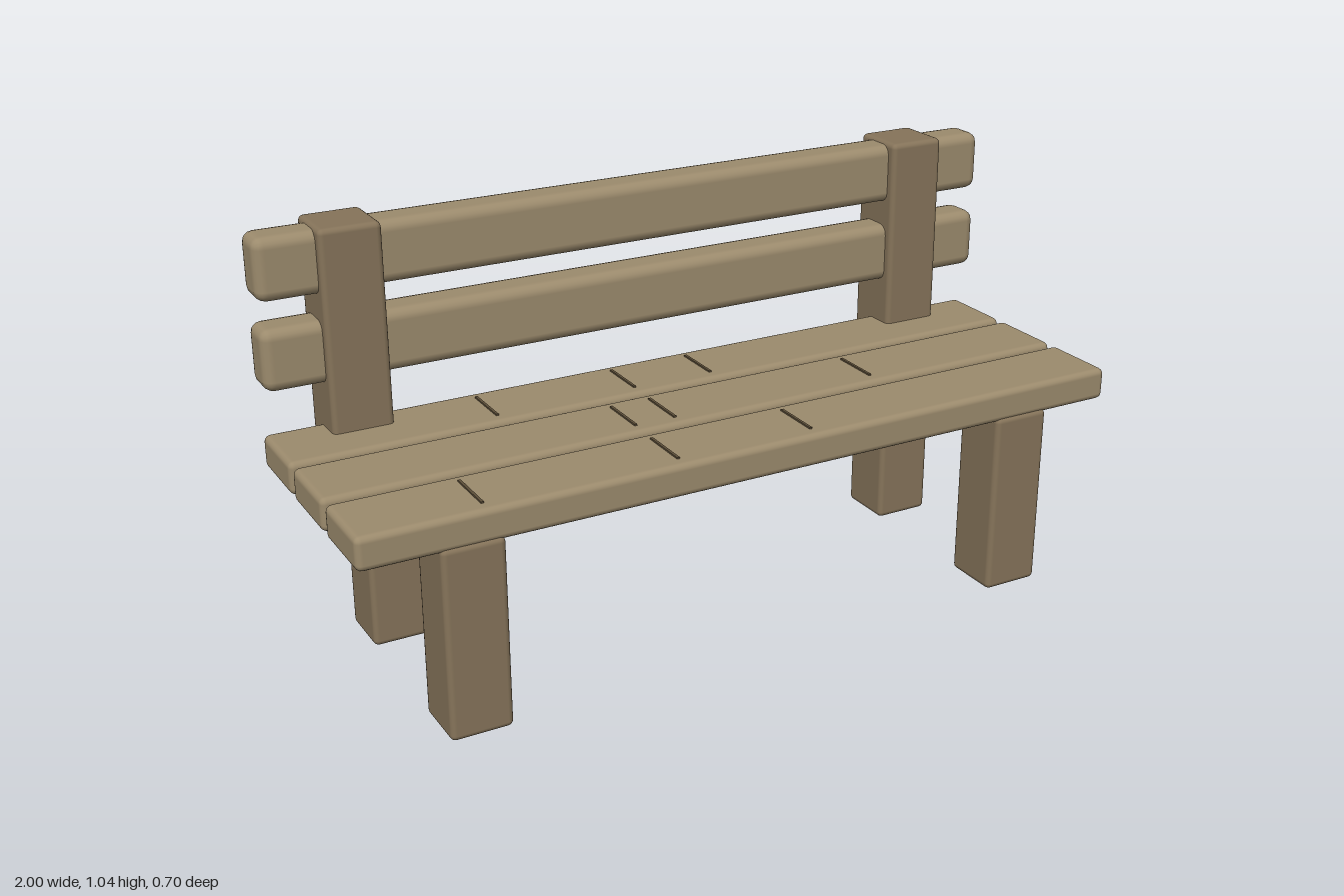
import * as THREE from 'three';
import { RoundedBoxGeometry } from 'three/addons/geometries/RoundedBoxGeometry.js';

export function createModel() {
  const bench = new THREE.Group();
  bench.name = 'bench';

  const plankWood = new THREE.MeshStandardMaterial({ color: 0x9c8b6d });
  const frameWood = new THREE.MeshStandardMaterial({ color: 0x86745a });
  const grainWood = new THREE.MeshStandardMaterial({ color: 0x5c4e38 });

  // Bevelled timber spanning the given min and max on each axis
  function timber(name, [x0, x1], [y0, y1], [z0, z1], radius, material) {
    const geometry = new RoundedBoxGeometry(x1 - x0, y1 - y0, z1 - z0, 2, radius);
    const mesh = new THREE.Mesh(geometry, material);
    mesh.position.set((x0 + x1) / 2, (y0 + y1) / 2, (z0 + z1) / 2);
    mesh.name = name;
    bench.add(mesh);
  }

  // Seat planks, each with three thin cross marks on top
  const planks = [
    { name: 'frontSeatPlank', z: 0.248, marks: [-0.7, -0.22, 0.135] },
    { name: 'middleSeatPlank', z: 0.03, marks: [-0.215, -0.11, 0.45] },
    { name: 'rearSeatPlank', z: -0.187, marks: [-0.475, -0.105, 0.11] },
  ];
  for (const { name, z, marks } of planks) {
    timber(name, [-1, 1], [0.465, 0.547], [z - 0.099, z + 0.099], 0.016, plankWood);
    for (const x of marks) {
      const mark = new THREE.Mesh(new THREE.BoxGeometry(0.007, 0.01, 0.13), grainWood);
      mark.position.set(x, 0.546, z);
      mark.name = 'grainMark';
      bench.add(mark);
    }
  }

  // Backrest rails
  timber('lowerBackRail', [-1, 1], [0.665, 0.818], [-0.326, -0.222], 0.027, plankWood);
  timber('upperBackRail', [-1, 1], [0.882, 1.035], [-0.326, -0.222], 0.027, plankWood);

  // Legs and back posts, mirrored left and right
  for (const [side, s] of [['left', 1], ['right', -1]]) {
    const span = (a, b) => (s > 0 ? [a, b] : [-b, -a]);
    timber(side + 'FrontLeg', span(0.662, 0.814), [0, 0.475], [0.2, 0.351], 0.014, frameWood);
    timber(side + 'RearLeg', span(0.662, 0.814), [0, 0.475], [-0.289, -0.137], 0.014, frameWood);
    timber(side + 'BackPost', span(0.704, 0.856), [0.352, 1.043], [-0.351, -0.198], 0.014, frameWood);
  }

  return bench;
}
